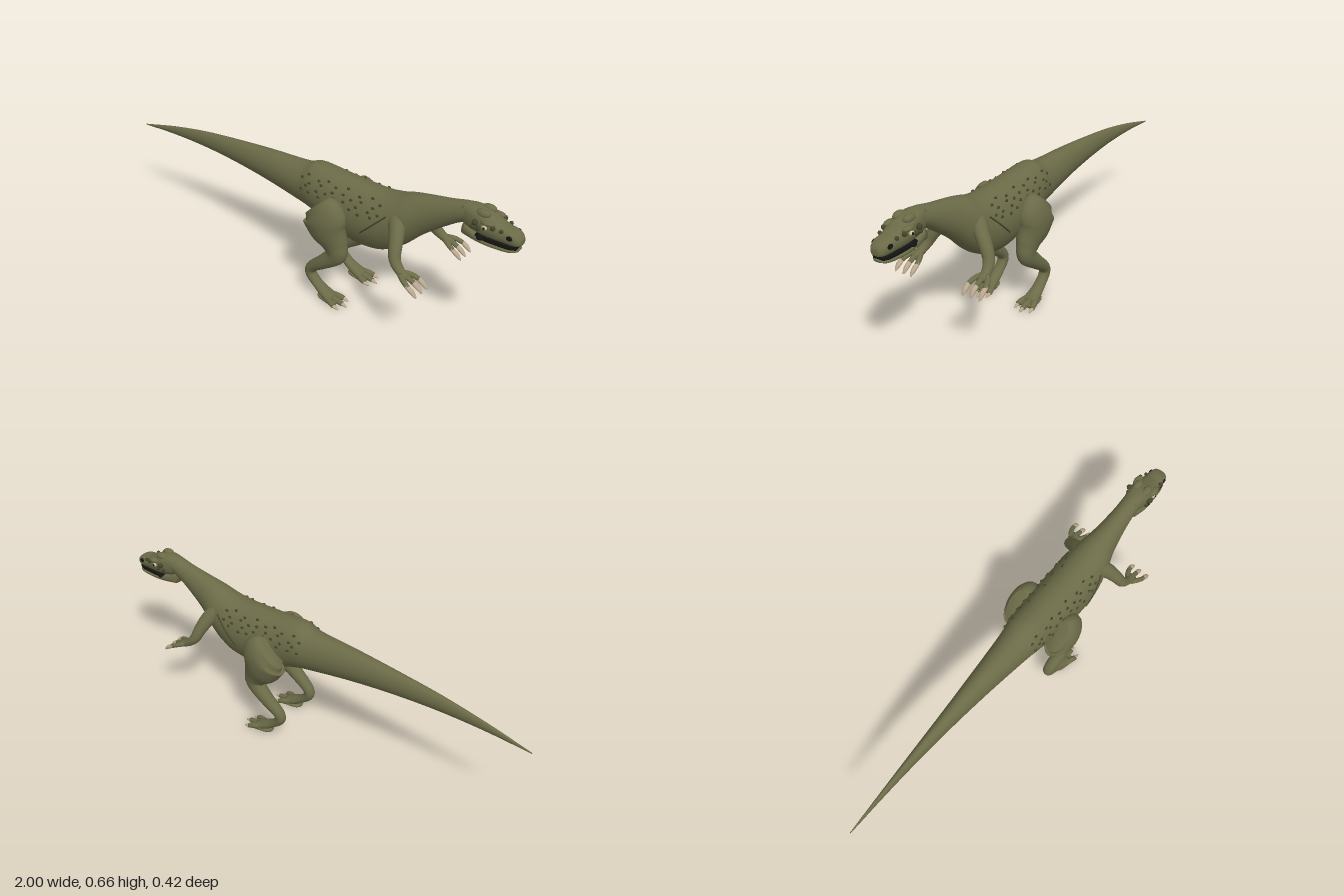
import * as THREE from 'three';

const paint = (name, color) => {
  const m = new THREE.MeshStandardMaterial({ color });
  m.name = name;
  return m;
};

// Smooth closed tube through stations [x, y, z, a, b]: a and b are the cross-section half sizes.
// upright keeps every ring in the yz plane; power below 1 makes the section boxier.
function sweep(stations, { upright = false, power = 1, steps = 5, sides = 20 } = {}) {
  const smooth = (pts) => new THREE.CatmullRomCurve3(pts, false, 'catmullrom', 0.5);
  const path = smooth(stations.map((s) => new THREE.Vector3(s[0], s[1], s[2])));
  const size = smooth(stations.map((s) => new THREE.Vector3(s[3], s[4], 0)));
  const rings = (stations.length - 1) * steps;
  const pos = [], index = [];
  const bend = (v) => Math.sign(v) * Math.abs(v) ** power;
  for (let i = 0; i <= rings; i++) {
    const c = path.getPoint(i / rings), r = size.getPoint(i / rings);
    const t = upright ? new THREE.Vector3(1, 0, 0) : path.getTangent(i / rings);
    const n = new THREE.Vector3(0, 0, 1).cross(t).normalize();
    const s = new THREE.Vector3().crossVectors(t, n);
    for (let j = 0; j < sides; j++) {
      const q = (j / sides) * Math.PI * 2;
      const p = c.clone().addScaledVector(n, r.x * bend(Math.cos(q))).addScaledVector(s, r.y * bend(Math.sin(q)));
      pos.push(p.x, p.y, p.z);
      if (i < rings) {
        const k = (j + 1) % sides, a = i * sides, b = a + sides;
        index.push(a + j, a + k, b + j, a + k, b + k, b + j);
      }
    }
  }
  // End caps
  const first = pos.length / 3, end = rings * sides;
  pos.push(...stations[0].slice(0, 3), ...stations[stations.length - 1].slice(0, 3));
  for (let j = 0; j < sides; j++) {
    const k = (j + 1) % sides;
    index.push(first, k, j, first + 1, end + j, end + k);
  }
  const g = new THREE.BufferGeometry();
  g.setAttribute('position', new THREE.Float32BufferAttribute(pos, 3));
  g.setIndex(index);
  g.computeVertexNormals();
  return g;
}

// Trunk profile: x, top, bottom, half width
const TRUNK = [
  [-1, 0.419, 0.415, 0.002], [-0.8, 0.468, 0.428, 0.011], [-0.6, 0.505, 0.43, 0.022], [-0.4, 0.528, 0.42, 0.036],
  [-0.2, 0.545, 0.4, 0.054], [0, 0.556, 0.37, 0.076], [0.07, 0.578, 0.355, 0.088], [0.2, 0.571, 0.312, 0.1],
  [0.3, 0.567, 0.29, 0.105], [0.4, 0.567, 0.297, 0.104], [0.47, 0.579, 0.328, 0.096], [0.53, 0.599, 0.375, 0.082],
  [0.6, 0.617, 0.445, 0.06], [0.7, 0.638, 0.525, 0.044], [0.77, 0.655, 0.57, 0.04], [0.82, 0.655, 0.575, 0.04],
];
const fromProfile = (rows) => rows.map(([x, top, low, w]) => [x, (top + low) / 2, 0, (top - low) / 2, w]);

// Flank depth at a side position on the trunk
function flank(x, y) {
  const i = Math.max(1, TRUNK.findIndex((r) => r[0] >= x));
  const p = TRUNK[i - 1], q = TRUNK[i], f = (x - p[0]) / (q[0] - p[0]);
  const [top, low, w] = [1, 2, 3].map((k) => p[k] + (q[k] - p[k]) * f);
  const d = (2 * y - top - low) / (top - low);
  return w * Math.sqrt(Math.max(0, 1 - d * d));
}

export function createModel() {
  const model = new THREE.Group();
  model.name = 'dinosaur';
  const skin = paint('olive skin', 0x6b6b48);
  const scale = paint('dark olive scales', 0x43452c);
  const black = paint('black', 0x141412);
  const horn = paint('tan claw', 0xb9a68c);
  const cream = paint('cream eye', 0xc9bf95);
  const add = (name, geometry, material, parent = model) => {
    const m = new THREE.Mesh(geometry, material);
    m.name = name;
    parent.add(m);
    return m;
  };
  const blob = (name, p, r, material, parent) => {
    const m = add(name, new THREE.SphereGeometry(1, 12, 8), material, parent);
    m.position.set(...p);
    m.scale.set(...r);
    return m;
  };

  add('trunk', sweep(fromProfile(TRUNK), { upright: true, sides: 32 }), skin);

  // Head
  const head = new THREE.Group();
  head.name = 'head';
  model.add(head);
  add('skull', sweep(fromProfile([
    [0.76, 0.65, 0.575, 0.036], [0.8, 0.656, 0.56, 0.044], [0.85, 0.65, 0.553, 0.05], [0.89, 0.632, 0.551, 0.047],
    [0.93, 0.615, 0.551, 0.041], [0.965, 0.609, 0.551, 0.038], [0.988, 0.598, 0.553, 0.031], [1, 0.583, 0.558, 0.02],
  ]), { upright: true, power: 0.75 }), skin, head);
  add('mouth', sweep(fromProfile([
    [0.83, 0.56, 0.536, 0.043], [0.9, 0.56, 0.536, 0.041], [0.96, 0.56, 0.536, 0.036], [0.988, 0.558, 0.538, 0.024],
  ]), { upright: true, power: 0.5 }), black, head);
  add('lowerJaw', sweep(fromProfile([
    [0.77, 0.58, 0.525, 0.036], [0.83, 0.56, 0.523, 0.046], [0.88, 0.544, 0.522, 0.045], [0.94, 0.542, 0.523, 0.041],
    [0.975, 0.542, 0.526, 0.033], [0.993, 0.541, 0.532, 0.018],
  ]), { upright: true, power: 0.7 }), skin, head);
  blob('nosePlate', [0.983, 0.577, 0], [0.017, 0.011, 0.031], horn, head);

  for (const side of [1, -1]) {
    const label = side > 0 ? 'near' : 'far';
    const group = (name) => {
      const g = new THREE.Group();
      g.name = label + name;
      model.add(g);
      return g;
    };
    const limb = (rows) => sweep(rows.map(([x, y, z, a, b]) => [x, y, z * side, a, b]));

    // Brows, cheek knobs, eye and nostril
    const face = group('Face');
    blob('crownBump', [0.845, 0.643, 0.023 * side], [0.03, 0.017, 0.018], skin, face);
    blob('browRidge', [0.875, 0.622, 0.042 * side], [0.028, 0.01, 0.016], skin, face);
    for (const [x, y, z, r] of [[0.83, 0.613, 0.052, 0.012], [0.845, 0.595, 0.052, 0.01], [0.9, 0.612, 0.047, 0.01],
      [0.82, 0.59, 0.048, 0.009], [0.93, 0.606, 0.038, 0.008]])
      blob('cheekKnob', [x, y, z * side], [r, r, r], scale, face);
    blob('eye', [0.868, 0.603, 0.05 * side], [0.011, 0.009, 0.008], cream, face);
    blob('pupil', [0.869, 0.603, 0.056 * side], [0.005, 0.006, 0.004], black, face);
    blob('nostril', [0.962, 0.588, 0.036 * side], [0.013, 0.01, 0.005], black, face);
    blob('mouthCorner', [0.85, 0.547, 0.043 * side], [0.014, 0.007, 0.006], black, face);

    // Arm with three clawed fingers
    const arm = group('Arm');
    add('arm', limb([[0.495, 0.505, 0.05, 0.04, 0.035], [0.525, 0.465, 0.09, 0.033, 0.03],
      [0.545, 0.42, 0.125, 0.027, 0.027], [0.56, 0.38, 0.146, 0.023, 0.024],
      [0.595, 0.347, 0.157, 0.017, 0.02], [0.632, 0.333, 0.16, 0.012, 0.023]]), skin, arm);
    for (const d of [-0.036, 0, 0.04]) {
      const z = 0.16 + d;
      add('finger', limb([[0.605, 0.343, 0.16 + d * 0.3, 0.011, 0.012], [0.632, 0.336, 0.16 + d * 0.75, 0.01, 0.011],
        [0.66, 0.324, z, 0.009, 0.01]]), skin, arm);
      add('fingerClaw', limb([[0.652, 0.328, z, 0.008, 0.009], [0.675, 0.315, z, 0.009, 0.011],
        [0.69, 0.302, z, 0.006, 0.008], [0.699, 0.292, z, 0.002, 0.003]]), horn, arm);
    }

    // Leg with flat-topped thigh and three clawed toes
    const leg = group('Leg');
    add('leg', limb([[0.15, 0.452, 0.112, 0.075, 0.038], [0.183, 0.42, 0.114, 0.108, 0.06],
      [0.207, 0.36, 0.112, 0.092, 0.058], [0.24, 0.3, 0.107, 0.062, 0.044], [0.25, 0.25, 0.108, 0.045, 0.036],
      [0.19, 0.192, 0.112, 0.032, 0.031], [0.125, 0.137, 0.109, 0.025, 0.026], [0.117, 0.1, 0.108, 0.024, 0.024],
      [0.152, 0.063, 0.108, 0.019, 0.025], [0.195, 0.036, 0.109, 0.02, 0.03], [0.24, 0.021, 0.11, 0.014, 0.036]]), skin, leg);
    add('footPad', limb([[0.165, 0.014, 0.109, 0.006, 0.015], [0.185, 0.014, 0.109, 0.011, 0.028],
      [0.24, 0.014, 0.11, 0.011, 0.037], [0.265, 0.013, 0.11, 0.006, 0.03]]), skin, leg);
    for (const d of [-0.036, 0, 0.036]) {
      const x = d ? 0.27 : 0.288, z = 0.11 + d;
      add('toe', limb([[0.2, 0.027, 0.11 + d * 0.4, 0.013, 0.013], [0.245, 0.021, 0.11 + d * 0.8, 0.013, 0.013],
        [x, 0.014, z, 0.01, 0.011]]), skin, leg);
      add('toeClaw', limb([[x - 0.006, 0.014, z, 0.007, 0.008], [x + 0.01, 0.011, z, 0.006, 0.007],
        [x + 0.024, 0.006, z, 0.002, 0.002]]), horn, leg);
    }

    // Rows of flank scales
    const scales = group('FlankScales');
    for (let row = 0; row < 4; row++)
      for (let i = 0; i < 8; i++) {
        const x = 0.04 + i * 0.052 + (row % 2) * 0.024 + Math.sin(i * 5 + row * 3) * 0.009;
        const y = 0.478 + row * 0.021 + Math.sin(i * 3 + row * 7) * 0.005;
        if (x < 0.44) blob('scale', [x, y, flank(x, y) * side], [0.008, 0.006, 0.005], scale, scales);
      }

    // Skin fold behind the arm
    const fold = [];
    for (let i = 0; i <= 5; i++) {
      const x = 0.36 + i * 0.022, y = 0.4 + i * 0.022;
      fold.push(new THREE.Vector3(x, y, (flank(x, y) + 0.001) * side));
    }
    add(label + 'SkinFold', new THREE.TubeGeometry(new THREE.CatmullRomCurve3(fold), 16, 0.0035, 6), scale);
  }
  return model;
}
